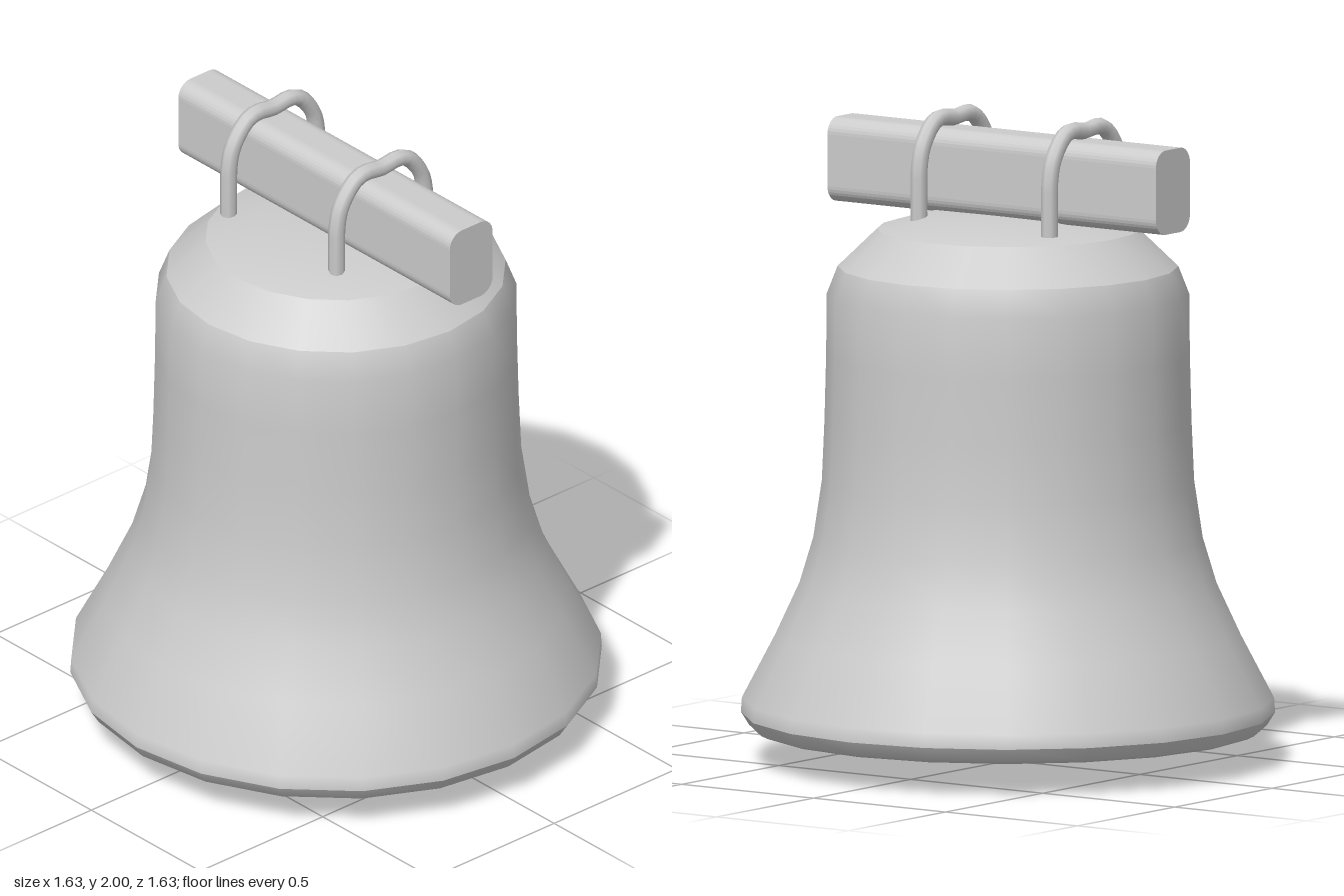
import * as THREE from 'three';

const SIDES = 20;

export function createModel() {
  const model = new THREE.Group();
  const metal = new THREE.MeshStandardMaterial({ color: 0xcccccc });

  const add = (parent, name, geometry) => {
    const mesh = new THREE.Mesh(geometry, metal);
    mesh.name = name;
    parent.add(mesh);
    return mesh;
  };
  const lathe = (points, sides = SIDES) =>
    new THREE.LatheGeometry(points.map(([r, y]) => new THREE.Vector2(r, y)), sides);

  // Bell shell: separate bands keep the edges between them sharp
  const bell = new THREE.Group();
  bell.name = 'bell';
  model.add(bell);
  add(bell, 'lipUnderside', lathe([[0.745, 0.105], [0.77, 0.1], [0.79, 0.11], [0.815, 0.15]]));
  add(bell, 'outerWall', lathe([
    [0.815, 0.15], [0.812, 0.195], [0.71, 0.39], [0.636, 0.55], [0.594, 0.69],
    [0.568, 0.865], [0.56, 1.05], [0.555, 1.25], [0.553, 1.44], [0.52, 1.525],
  ]));
  add(bell, 'shoulder', lathe([[0.52, 1.525], [0.4, 1.64]]));
  add(bell, 'crown', lathe([[0.4, 1.64], [0.24, 1.685], [0, 1.688]]));
  add(bell, 'innerWall', lathe([
    [0, 1.64], [0.36, 1.61], [0.49, 1.5], [0.53, 1.4], [0.535, 1.0],
    [0.545, 0.85], [0.572, 0.69], [0.612, 0.55], [0.675, 0.38], [0.745, 0.105],
  ]));

  // Clapper: ball tapering into a thin rod
  const ball = [];
  for (let i = 0; i <= 9; i++) {
    const a = (i / 9) * 2.1;
    ball.push([0.15 * Math.sin(a), 0.15 - 0.15 * Math.cos(a)]);
  }
  add(model, 'clapper', lathe([...ball, [0.08, 0.34], [0.05, 0.435], [0.045, 0.55], [0.045, 1.64]], 24));

  // Yoke beam: bar with rounded long edges
  const w = 0.0875, h = 0.13, r = 0.05;
  const section = new THREE.Shape();
  section.moveTo(-w + r, -h);
  section.lineTo(w - r, -h);
  section.absarc(w - r, -h + r, r, -Math.PI / 2, 0);
  section.absarc(w - r, h - r, r, 0, Math.PI / 2);
  section.absarc(-w + r, h - r, r, Math.PI / 2, Math.PI);
  section.absarc(-w + r, -h + r, r, Math.PI, Math.PI * 1.5);
  const beam = add(model, 'yokeBeam',
    new THREE.ExtrudeGeometry(section, { depth: 1.245, bevelEnabled: false, curveSegments: 4 }));
  beam.rotation.y = Math.PI / 2;
  beam.position.set(-0.625, 1.808, 0);

  // Straps: bent rods looping over the beam
  const half = [[0.18, 1.66], [0.18, 1.76], [0.178, 1.83], [0.162, 1.892], [0.11, 1.958], [0.07, 1.973]];
  const path = [...half, [0, 1.966], ...half.map(([z, y]) => [-z, y]).reverse()]
    .map(([z, y]) => new THREE.Vector3(0, y, z));
  const curve = new THREE.CatmullRomCurve3(path, false, 'centripetal');
  for (const x of [-0.29, 0.205]) {
    const strap = new THREE.Group();
    strap.name = 'strap';
    strap.position.x = x;
    add(strap, 'strapRod', new THREE.TubeGeometry(curve, 32, 0.026, 8));
    for (const z of [-0.18, 0.18]) {
      const end = add(strap, 'strapEnd', new THREE.CircleGeometry(0.026, 8));
      end.rotation.x = Math.PI / 2;
      end.position.set(0, 1.66, z);
    }
    model.add(strap);
  }

  return model;
}
